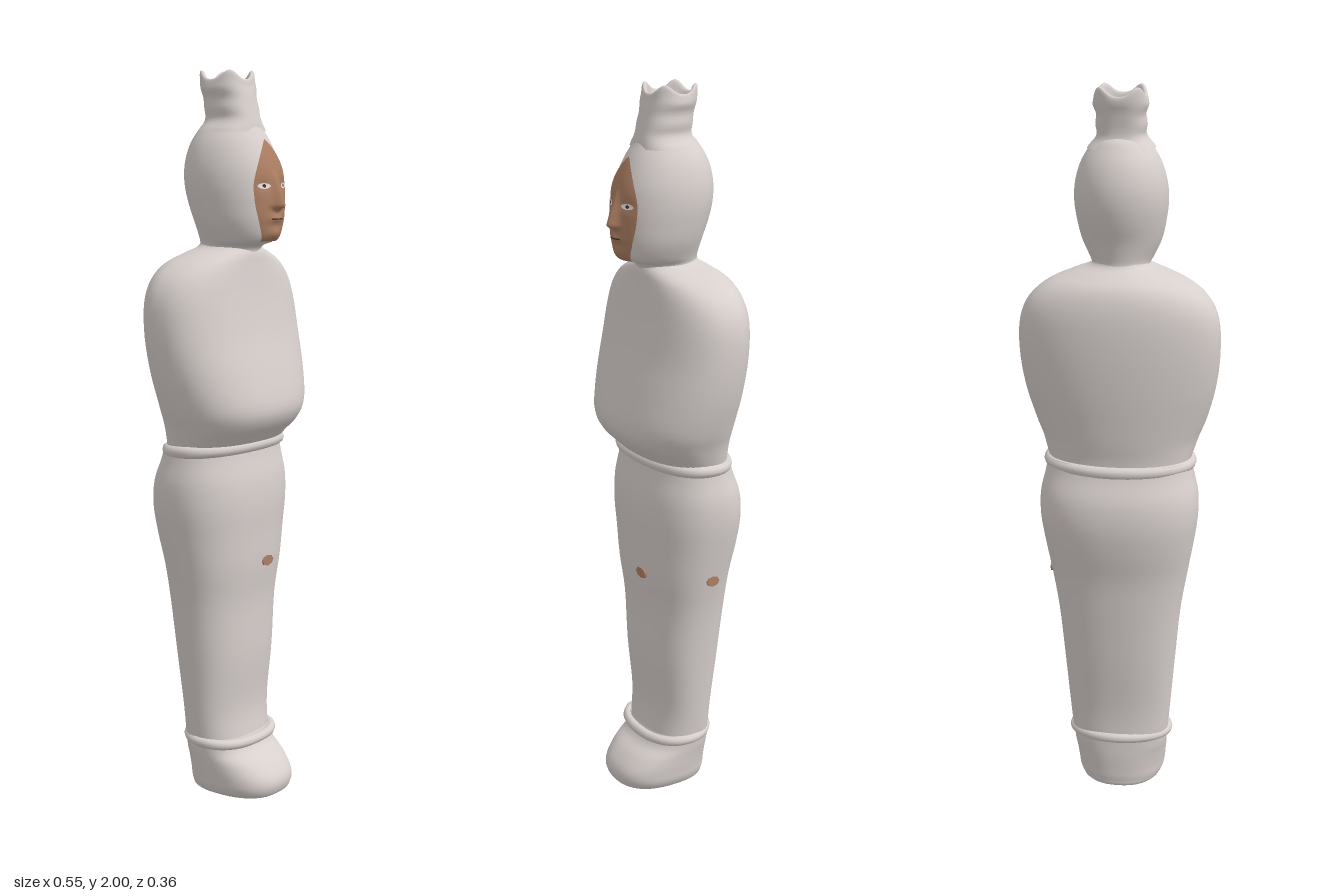
import * as THREE from 'three';

const cloth = new THREE.MeshStandardMaterial({ color: 0xd8d0cd });
cloth.name = 'pale cloth';
const skin = new THREE.MeshStandardMaterial({ color: 0xad7f63 });
skin.name = 'brown skin';
const eyeWhite = new THREE.MeshStandardMaterial({ color: 0xe6e2de });
eyeWhite.name = 'eye white';
const dark = new THREE.MeshStandardMaterial({ color: 0x4a3328 });
dark.name = 'dark brown';

// A form is a stack of rings: [y, half width, back z, front z]
function makeForm(rows, frontPower = 2.2, backPower = 2) {
  const size = new THREE.CatmullRomCurve3(rows.map(r => new THREE.Vector3(r[0], r[1], 0)), false, 'catmullrom', 0.5);
  const depth = new THREE.CatmullRomCurve3(rows.map(r => new THREE.Vector3(r[2], r[3], 0)), false, 'catmullrom', 0.5);
  const at = t => {
    const s = size.getPoint(t), d = depth.getPoint(t);
    return { y: s.x, w: Math.max(s.y, 0.0005), mid: d.x + (d.y - d.x) * 0.46, back: d.x, front: d.y };
  };
  const point = (t, a) => {
    const r = at(t), c = Math.cos(a), s = Math.sin(a);
    const n = 2 / (s > 0 ? frontPower : backPower);
    const reach = s > 0 ? r.front - r.mid : r.mid - r.back;
    return new THREE.Vector3(
      r.w * Math.sign(c) * Math.abs(c) ** n, r.y,
      r.mid + reach * Math.sign(s) * Math.abs(s) ** n);
  };
  // Depth of the front surface at x, y
  const frontZ = (x, y) => {
    let lo = 0, hi = 1;
    for (let i = 0; i < 30; i++) {
      const m = (lo + hi) / 2;
      if (at(m).y < y) lo = m; else hi = m;
    }
    const r = at(lo), q = Math.min(1, Math.abs(x) / r.w);
    return r.mid + (r.front - r.mid) * (1 - q ** frontPower) ** (1 / frontPower);
  };
  return { rows, point, frontZ };
}

// Skin a form with smooth quads
function loft(form, warp, sides = 48) {
  const steps = (form.rows.length - 1) * 4, pos = [], idx = [];
  for (let i = 0; i <= steps; i++) for (let j = 0; j < sides; j++) {
    const a = j / sides * Math.PI * 2, p = form.point(i / steps, a);
    if (warp) warp(p, a, i / steps);
    pos.push(p.x, p.y, p.z);
  }
  for (let i = 0; i < steps; i++) for (let j = 0; j < sides; j++) {
    const k = (j + 1) % sides, a = i * sides + j, b = i * sides + k;
    idx.push(a, a + sides, b, b, a + sides, b + sides);
  }
  return finish(pos, idx);
}

function finish(pos, idx) {
  const g = new THREE.BufferGeometry();
  g.setAttribute('position', new THREE.Float32BufferAttribute(pos, 3));
  g.setIndex(idx);
  g.computeVertexNormals();
  return g;
}

// Patch lying on the front of a form; halfWidth(v) shapes it from bottom to top
function frontPatch(z, cx, y0, y1, halfWidth, cols, rows) {
  const pos = [], idx = [];
  for (let i = 0; i <= rows; i++) for (let j = 0; j <= cols; j++) {
    const v = i / rows, y = y0 + (y1 - y0) * v;
    const x = cx + halfWidth(v) * (j / cols * 2 - 1);
    pos.push(x, y, z(x, y));
  }
  for (let i = 0; i < rows; i++) for (let j = 0; j < cols; j++) {
    const a = i * (cols + 1) + j, c = a + cols + 1;
    idx.push(a, a + 1, c, a + 1, c + 1, c);
  }
  return finish(pos, idx);
}

// Rolled band around an oval
function band(y, w, back, front, r, tilt) {
  const pts = [];
  for (let i = 0; i < 32; i++) {
    const a = i / 32 * Math.PI * 2, s = Math.sin(a);
    const n = s > 0 ? 0.85 : 1;
    pts.push(new THREE.Vector3(
      w * Math.sign(Math.cos(a)) * Math.abs(Math.cos(a)) ** n, y - tilt * s,
      (back + front) / 2 + (front - back) / 2 * Math.sign(s) * Math.abs(s) ** n));
  }
  return new THREE.TubeGeometry(new THREE.CatmullRomCurve3(pts, true), 64, r, 10, true);
}

export function createModel() {
  const model = new THREE.Group();
  const add = (name, geo, mat, parent = model) => {
    const m = new THREE.Mesh(geo, mat);
    m.name = name;
    parent.add(m);
    return m;
  };

  // Wrapped feet
  const feet = makeForm([
    [0.004, 0, 0.03, 0.05], [0.004, 0.095, -0.08, 0.155], [0.025, 0.12, -0.095, 0.18], [0.06, 0.126, -0.098, 0.178],
    [0.1, 0.13, -0.1, 0.145], [0.13, 0.133, -0.1, 0.105], [0.17, 0.135, -0.1, 0.085]], 2.5, 2.3);
  add('feet', loft(feet), cloth);
  add('ankleBand', band(0.16, 0.135, -0.1, 0.095, 0.014, 0.006), cloth);

  // Wrapped legs
  const skirt = makeForm([
    [0.15, 0.136, -0.1, 0.085], [0.25, 0.145, -0.103, 0.075], [0.4, 0.158, -0.122, 0.088], [0.55, 0.172, -0.138, 0.092],
    [0.66, 0.19, -0.15, 0.104], [0.75, 0.206, -0.168, 0.108], [0.83, 0.218, -0.178, 0.112], [0.9, 0.218, -0.172, 0.108],
    [0.96, 0.205, -0.15, 0.096], [1.0, 0.198, -0.14, 0.09]], 2.4, 2.2);
  add('legs', loft(skirt), cloth);
  add('belt', band(0.99, 0.194, -0.138, 0.088, 0.017, -0.006), cloth);

  // Torso with the arms folded under the cloth
  const torso = makeForm([
    [0.99, 0.192, -0.135, 0.085], [1.02, 0.202, -0.138, 0.115], [1.06, 0.216, -0.145, 0.155], [1.11, 0.236, -0.152, 0.17],
    [1.2, 0.26, -0.163, 0.15], [1.3, 0.272, -0.17, 0.122], [1.39, 0.268, -0.17, 0.104], [1.45, 0.242, -0.162, 0.095],
    [1.49, 0.195, -0.145, 0.09], [1.515, 0.135, -0.115, 0.087], [1.535, 0.08, -0.085, 0.08], [1.56, 0.07, -0.075, 0.07]], 2.4, 2.1);
  add('torso', loft(torso), cloth);

  // Hooded head
  const head = makeForm([
    [1.5, 0.085, -0.085, 0.082], [1.535, 0.078, -0.082, 0.09], [1.555, 0.088, -0.083, 0.135], [1.6, 0.108, -0.093, 0.148],
    [1.65, 0.119, -0.11, 0.15], [1.7, 0.125, -0.121, 0.147], [1.75, 0.122, -0.122, 0.138], [1.8, 0.108, -0.11, 0.118],
    [1.84, 0.085, -0.088, 0.095], [1.87, 0.055, -0.06, 0.07], [1.88, 0, 0, 0.005]], 2.1, 2);
  add('hood', loft(head), cloth);

  // Face with nose, lips and chin raised from the hood front
  const face = new THREE.Group();
  face.name = 'face';
  model.add(face);
  const bump = (d, s) => Math.exp(-((d / s) ** 2));
  const faceZ = (x, y) => {
    const ridge = y > 1.645 ? THREE.MathUtils.clamp((1.74 - y) / 0.095, 0, 1) : Math.max(0, 1 - (1.645 - y) / 0.014);
    return head.frontZ(x, y) + 0.007
      + 0.027 * ridge * bump(x, 0.01 + 0.008 * ridge)
      + 0.007 * bump(y - 1.612, 0.01) * bump(x, 0.025)
      + 0.006 * bump(y - 1.572, 0.014) * bump(x, 0.025)
      - 0.004 * bump(y - 1.7, 0.014) * bump(Math.abs(x) - 0.042, 0.02);
  };
  const faceWidth = v => v < 0.5
    ? 0.036 + 0.034 * Math.sin(v * Math.PI)
    : 0.07 * Math.cos((v - 0.5) * Math.PI) ** 0.85 + 0.0005;
  add('faceSkin', frontPatch(faceZ, 0, 1.552, 1.82, faceWidth, 32, 56), skin, face);
  const lens = w => v => w * Math.sin(v * Math.PI) ** 0.6 + 0.0005;
  const raise = d => (x, y) => faceZ(x, y) + d;
  for (const side of [-1, 1]) {
    add('eye', frontPatch(raise(0.002), side * 0.042, 1.691, 1.707, lens(0.019), 8, 8), eyeWhite, face);
    add('pupil', frontPatch(raise(0.003), side * 0.042, 1.694, 1.704, lens(0.005), 4, 6), dark, face);
  }
  add('mouth', frontPatch(raise(0.0015), 0, 1.61, 1.6135, () => 0.024, 10, 2), dark, face);

  // Hollow topknot with a notched rim
  const knot = makeForm([
    [1.84, 0.085, -0.075, 0.09], [1.865, 0.072, -0.062, 0.085], [1.89, 0.064, -0.06, 0.078], [1.93, 0.068, -0.066, 0.068],
    [1.97, 0.071, -0.073, 0.06], [1.998, 0.068, -0.074, 0.056], [1.996, 0.058, -0.064, 0.046],
    [1.965, 0.05, -0.052, 0.042], [1.945, 0.03, -0.03, 0.025], [1.94, 0, -0.002, 0.002]], 2.6, 2.6);
  const notch = (p, a) => {
    const rim = THREE.MathUtils.smoothstep(p.y, 1.93, 2);
    p.y -= 0.012 * rim * (1 + Math.cos(4 * a));
    p.x *= 1 + 0.05 * Math.sin(p.y * 110) * (1 - rim);
  };
  add('topknot', loft(knot, notch), cloth);

  // Small brown spots on the legs
  const spot = new THREE.CylinderGeometry(1, 1, 0.008, 8);
  const front = add('frontSpot', spot, skin);
  front.scale.set(0.025, 1, 0.015);
  front.rotation.x = Math.PI / 2;
  front.position.set(0.035, 0.665, skirt.frontZ(0.035, 0.665));
  const flank = add('sideSpot', spot, skin);
  flank.scale.set(0.015, 1, 0.02);
  flank.rotation.z = -Math.PI / 2;
  flank.position.set(0.191, 0.665, -0.03);

  return model;
}
